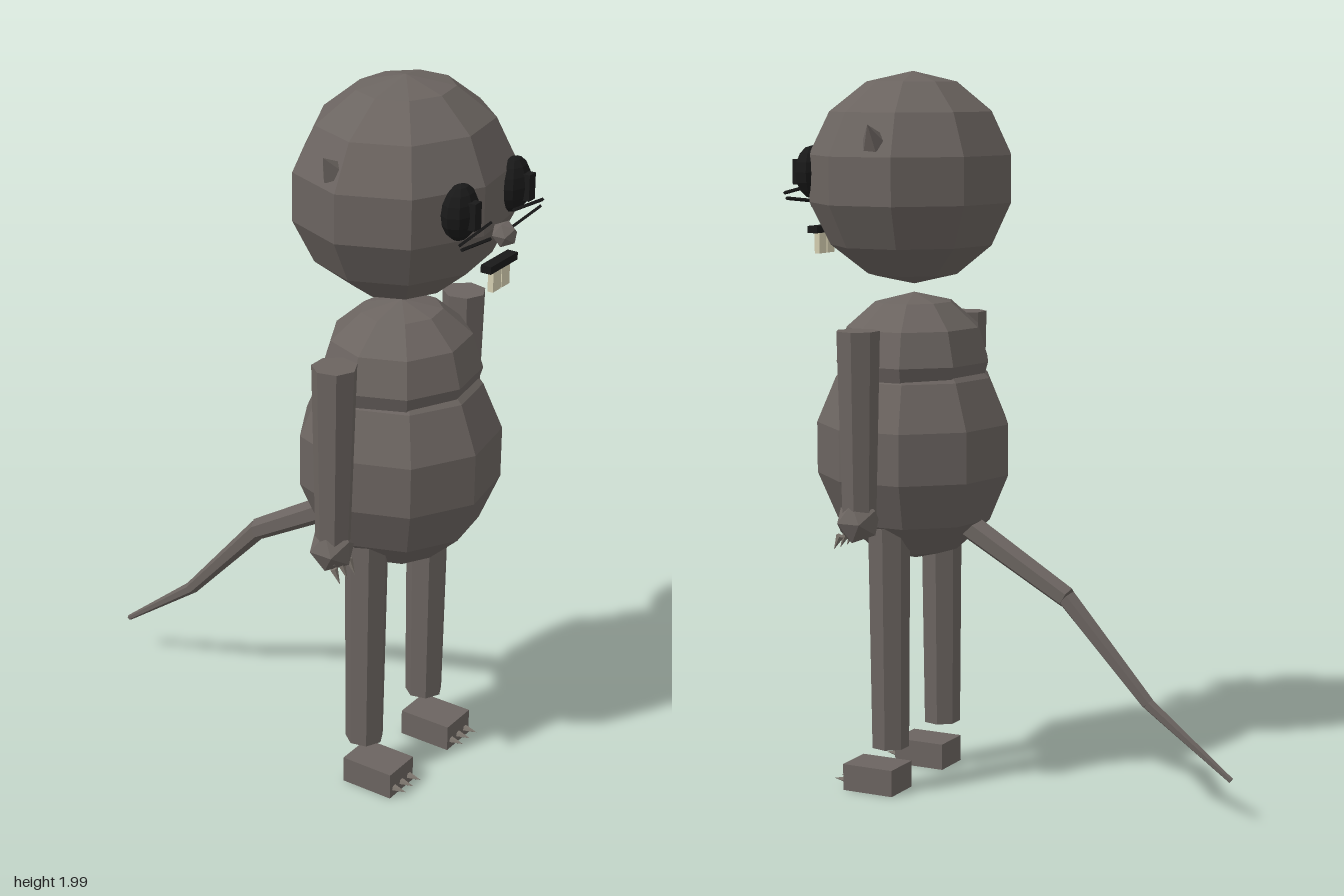
import * as THREE from 'three';

const mat = (name, color) => {
  const m = new THREE.MeshStandardMaterial({ color, flatShading: true });
  m.name = name;
  return m;
};

export function createModel() {
  const fur = mat('fur grey', 0x6b6460);
  const black = mat('black', 0x191919);
  const ivory = mat('ivory', 0xd6d0b2);
  const claw = mat('claw grey', 0x7d766e);
  const model = new THREE.Group();
  model.name = 'rodent';

  const add = (name, geo, material, x, y, z) => {
    const mesh = new THREE.Mesh(geo, material);
    mesh.name = name;
    mesh.position.set(x, y, z);
    model.add(mesh);
    return mesh;
  };
  const ball = (name, material, pos, radii, sides, rings) => {
    const mesh = add(name, new THREE.SphereGeometry(1, sides, rings), material, ...pos);
    mesh.scale.set(...radii);
    return mesh;
  };
  // Tapered rod from point a to point b
  const rod = (name, material, a, b, ra, rb, sides) => {
    const p = new THREE.Vector3(...a), q = new THREE.Vector3(...b);
    const dir = q.clone().sub(p);
    const geo = new THREE.CylinderGeometry(rb, ra, dir.length(), sides);
    const mid = p.clone().add(q).multiplyScalar(0.5);
    const mesh = add(name, geo, material, mid.x, mid.y, mid.z);
    mesh.quaternion.setFromUnitVectors(new THREE.Vector3(0, 1, 0), dir.normalize());
    return mesh;
  };

  // Head and body
  ball('head', fur, [0, 1.709, 0.315], [0.322, 0.291, 0.284], 9, 7);
  ball('chest', fur, [0, 1.205, 0.315], [0.232, 0.19, 0.212], 9, 6);
  ball('belly', fur, [0, 0.963, 0.315], [0.285, 0.318, 0.278], 9, 7);

  // Face centre: nose, mouth and front teeth
  add('nose', new THREE.IcosahedronGeometry(0.035, 0), fur, 0, 1.64, 0.615);
  add('mouth', new THREE.BoxGeometry(0.13, 0.02, 0.03), black, 0, 1.562, 0.603);

  for (const s of [-1, 1]) {
    add('tooth', new THREE.BoxGeometry(0.038, 0.062, 0.016), ivory, s * 0.021, 1.525, 0.603);

    // Eye with raised pupil
    ball('eye', black, [s * 0.127, 1.725, 0.562], [0.063, 0.073, 0.042], 9, 8);
    add('pupil', new THREE.BoxGeometry(0.03, 0.07, 0.02), black, s * 0.13, 1.725, 0.605);

    // Whiskers
    rod('whisker', black, [s * 0.055, 1.685, 0.607], [s * 0.2, 1.67, 0.607], 0.005, 0.005, 4);
    rod('whisker', black, [s * 0.055, 1.642, 0.607], [s * 0.19, 1.655, 0.607], 0.005, 0.005, 4);

    // Pointed ear
    rod('ear', fur, [s * 0.267, 1.81, 0.285], [s * 0.312, 1.86, 0.28], 0.036, 0, 6);

    // Arm, hand and finger claws
    rod('arm', fur, [s * 0.312, 0.77, 0.317], [s * 0.31, 1.315, 0.317], 0.046, 0.06, 7);
    add('hand', new THREE.IcosahedronGeometry(0.063, 0), fur, s * 0.317, 0.8, 0.317);
    for (const i of [-1, 0, 1]) {
      const x = s * 0.322 + i * 0.034;
      rod('fingerClaw', claw, [x, 0.765, 0.35], [x, 0.725, 0.37], 0.011, 0, 5);
    }

    // Leg, foot and toe claws
    rod('leg', fur, [s * 0.152, 0.135, 0.317], [s * 0.152, 0.76, 0.317], 0.053, 0.06, 7);
    add('foot', new THREE.BoxGeometry(0.115, 0.075, 0.155), fur, s * 0.148, 0.043, 0.361);
    for (const i of [-1, 0, 1]) {
      const x = s * 0.148 + i * 0.037;
      rod('toeClaw', claw, [x, 0.03, 0.435], [x, 0.03, 0.478], 0.011, 0, 5);
    }
  }

  // Tail in three tapering sections
  const joints = [[0, 0.765, 0.17], [0, 0.575, -0.155], [0, 0.305, -0.4], [0, 0.122, -0.643]];
  const radii = [[0.038, 0.031], [0.028, 0.019], [0.018, 0.008]];
  radii.forEach(([ra, rb], i) => rod('tailSection', fur, joints[i], joints[i + 1], ra, rb, 6));

  return model;
}
